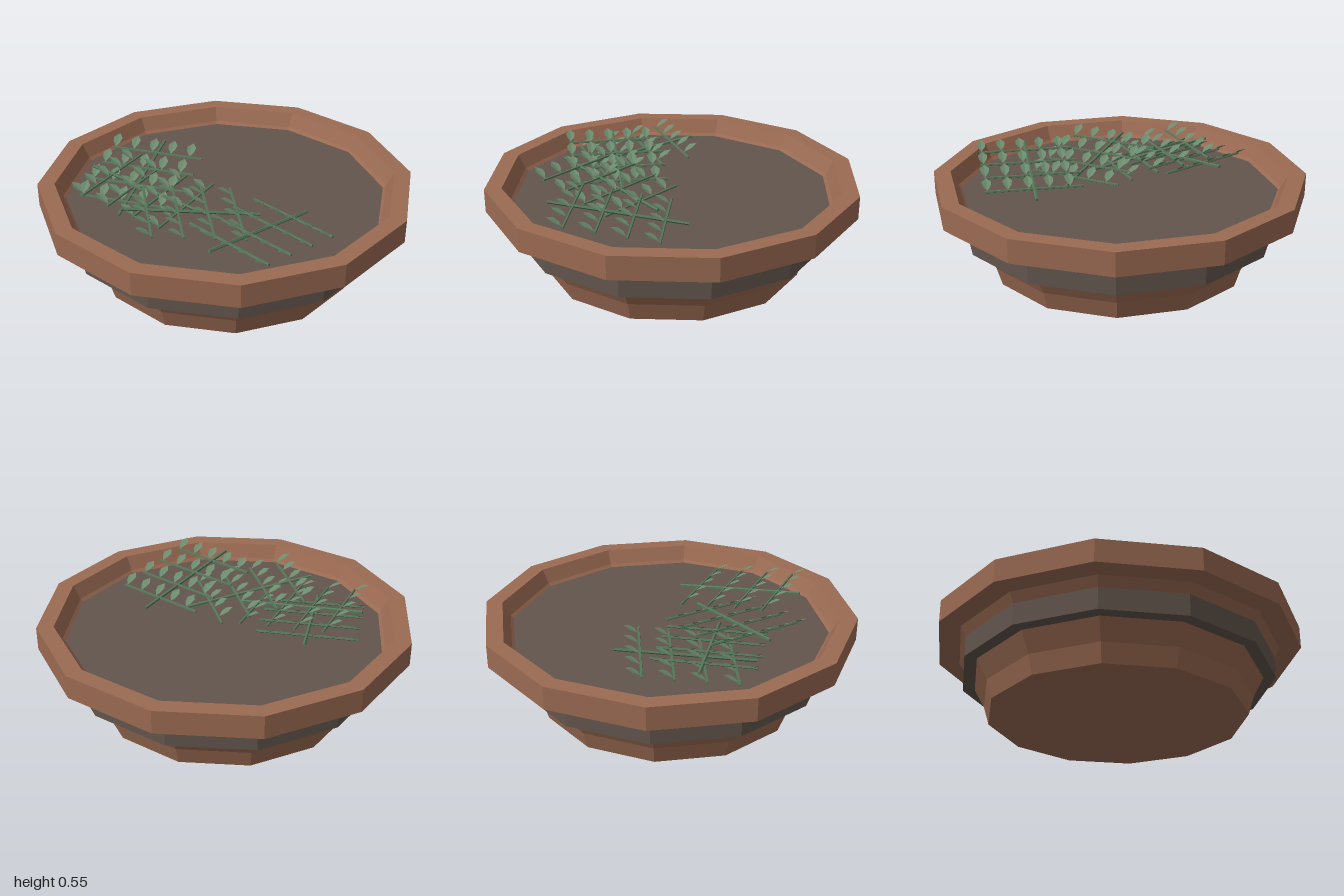
import * as THREE from 'three';

const SIDES = 12;

export function createModel() {
  const terracotta = new THREE.MeshStandardMaterial({ color: 0x9a6a52, flatShading: true, side: THREE.DoubleSide });
  terracotta.name = 'terracotta';
  const soil = new THREE.MeshStandardMaterial({ color: 0x62554d, flatShading: true });
  soil.name = 'soil';
  const leafGreen = new THREE.MeshStandardMaterial({ color: 0x6b8a6d, flatShading: true, side: THREE.DoubleSide });
  leafGreen.name = 'leaf green';
  const stemGreen = new THREE.MeshStandardMaterial({ color: 0x55785a, flatShading: true });
  stemGreen.name = 'stem green';

  const model = new THREE.Group();
  model.name = 'planter';

  const add = (parent, name, geometry, material) => {
    const mesh = new THREE.Mesh(geometry, material);
    mesh.name = name;
    parent.add(mesh);
    return mesh;
  };
  const lathe = (points) =>
    new THREE.LatheGeometry(points.map(([r, y]) => new THREE.Vector2(r, y)), SIDES);

  // Bowl: tapered foot below, heavy rim above
  add(model, 'foot', lathe([[0, 0], [0.7, 0], [0.73, 0.1], [0.79, 0.21]]), terracotta);
  add(model, 'rim', lathe([
    [0.852, 0.32], [0.885, 0.375], [1, 0.375], [1, 0.5], [0.91, 0.5], [0.87, 0.425], [0.85, 0.405],
  ]), terracotta);

  // Soil: a thick disc that also shows as the band between foot and rim
  const soilDisc = add(model, 'soil', new THREE.CylinderGeometry(0.855, 0.855, 0.203, SIDES), soil);
  soilDisc.position.y = 0.3085;

  // Folded leaf pointing along -x, tilted upward
  const base = [0, 0, 0];
  const tip = [-0.088, 0, 0];
  const leafPoints = [];
  for (const s of [1, -1]) {
    const a = [-0.026, 0.006, 0.02 * s];
    const b = [-0.056, 0.006, 0.026 * s];
    const tris = s > 0 ? [base, b, a, base, tip, b] : [base, a, b, base, b, tip];
    leafPoints.push(...tris.flat());
  }
  const leafGeometry = new THREE.BufferGeometry();
  leafGeometry.setAttribute('position', new THREE.Float32BufferAttribute(leafPoints, 3));
  leafGeometry.rotateZ(-0.42);
  leafGeometry.computeVertexNormals();

  const mainStem = new THREE.CylinderGeometry(0.009, 0.009, 0.72, 5).rotateZ(Math.PI / 2);
  const sideStem = new THREE.CylinderGeometry(0.007, 0.007, 0.53, 5).rotateX(Math.PI / 2);

  // Frond: main stem along local x from its high end, with leafy cross stems
  function addFrond(high, low) {
    const frond = new THREE.Group();
    frond.name = 'frond';
    const h = new THREE.Vector3(...high);
    const x = new THREE.Vector3(...low).sub(h).normalize();
    const z = new THREE.Vector3().crossVectors(x, new THREE.Vector3(0, 1, 0)).normalize();
    const y = new THREE.Vector3().crossVectors(z, x);
    frond.quaternion.setFromRotationMatrix(new THREE.Matrix4().makeBasis(x, y, z));
    frond.position.copy(h);
    add(frond, 'mainStem', mainStem, stemGreen).position.x = 0.36;
    for (let row = 0; row < 4; row++) {
      const rowX = 0.13 + row * 0.157;
      add(frond, 'sideStem', sideStem, stemGreen).position.x = rowX;
      for (let i = 0; i < 5; i++) {
        add(frond, 'leaf', leafGeometry, leafGreen).position.set(rowX - 0.005, 0.004, 0.25 - i * 0.11);
      }
    }
    model.add(frond);
  }

  addFrond([-0.13, 0.515, 0.73], [0.4, 0.43, 0.26]);
  addFrond([-0.55, 0.515, 0.31], [0.15, 0.42, 0.25]);
  addFrond([-0.32, 0.515, -0.44], [-0.57, 0.43, 0.22]);
  addFrond([-0.71, 0.515, -0.16], [-0.13, 0.43, 0.24]);

  return model;
}
